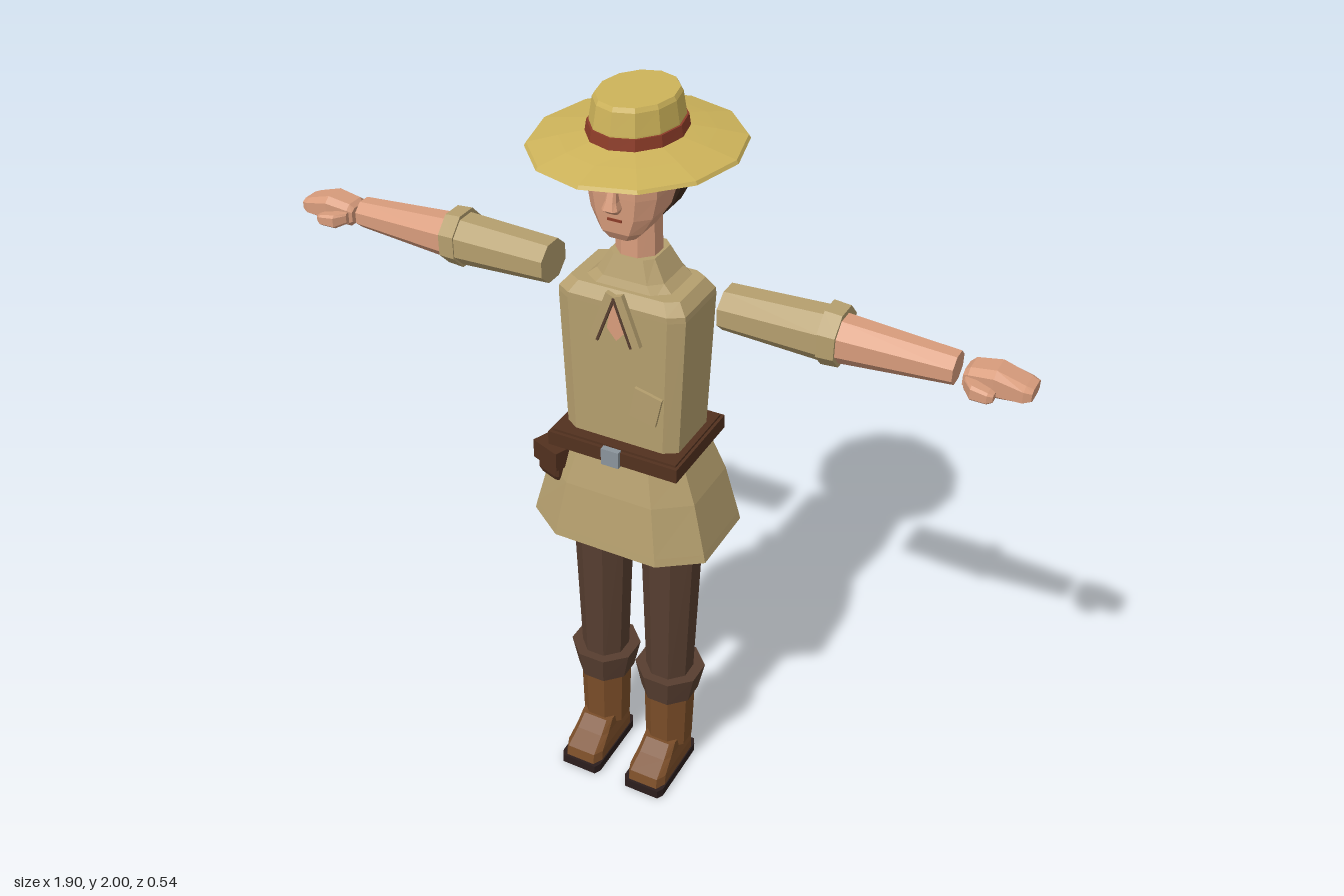
import * as THREE from 'three';

const mat = (name, color) => Object.assign(new THREE.MeshStandardMaterial({ color }), { name });

// Unit outlines, turning from +x towards +z
const poly = (n, phase = 0) => Array.from({ length: n }, (_, i) => {
  const a = phase + (i / n) * Math.PI * 2;
  return [Math.cos(a), Math.sin(a)];
});
const chamfered = (c) => {
  const k = 1 - c;
  return [[1, -k], [1, k], [k, 1], [-k, 1], [-1, k], [-1, -k], [-k, -1], [k, -1]];
};
const OCT = poly(8, Math.PI / 8).map(([x, z]) => [x / Math.cos(Math.PI / 8), z / Math.cos(Math.PI / 8)]);

// Closed, faceted skin over stacked sections [y, halfX, zBack, zFront, centreX]
function loft(sections, outline) {
  const n = outline.length, pos = [], idx = [];
  for (const [y, rx, z0, z1, cx = 0] of sections) {
    for (const [u, v] of outline) pos.push(cx + u * rx, y, (z0 + z1) / 2 + (v * (z1 - z0)) / 2);
  }
  const last = sections.length - 1;
  for (let i = 0; i < last; i++) {
    for (let j = 0; j < n; j++) {
      const a = i * n + j, b = i * n + ((j + 1) % n);
      idx.push(a, a + n, b, b, a + n, b + n);
    }
  }
  for (let j = 1; j < n - 1; j++) {
    idx.push(0, j, j + 1, last * n, last * n + j + 1, last * n + j);
  }
  const g = new THREE.BufferGeometry();
  g.setAttribute('position', new THREE.Float32BufferAttribute(pos, 3));
  g.setIndex(idx);
  const flat = g.toNonIndexed();
  flat.computeVertexNormals();
  return flat;
}

export function createModel() {
  const khaki = mat('khaki cloth', 0xb59f6e);
  const straw = mat('straw', 0xcdb35a);
  const skin = mat('skin', 0xd89c7c);
  const trousers = mat('dark brown cloth', 0x573e30);
  const leather = mat('boot leather', 0x7a4d28);
  const rubber = mat('sole black', 0x2b1d1c);
  const beltBrown = mat('belt leather', 0x52311f);
  const red = mat('rust ribbon', 0x8c3c28);
  const metal = mat('buckle metal', 0x8b949c);
  const hairBrown = mat('hair brown', 0x402a1d);

  const model = new THREE.Group();
  model.name = 'scout';
  const add = (parent, name, geometry, material, x = 0, y = 0, z = 0) => {
    const m = new THREE.Mesh(geometry, material);
    m.name = name;
    m.position.set(x, y, z);
    parent.add(m);
    return m;
  };
  const part = (name, sections, outline, material, parent = model) =>
    add(parent, name, loft(sections, outline), material);
  const box = (name, w, h, d, material, x, y, z, parent = model) =>
    add(parent, name, new THREE.BoxGeometry(w, h, d), material, x, y, z);
  const plate = (name, points, material, z, thick = 0.009) => {
    const shape = new THREE.Shape(points.map(([x, y]) => new THREE.Vector2(x, y)));
    return add(model, name, new THREE.ExtrudeGeometry(shape, { depth: thick, bevelEnabled: false }), material, 0, 0, z);
  };

  // Hat
  const round = poly(12);
  const oval = (y, rx, rz) => [y, rx, -rz, rz];
  part('hatBrim', [oval(1.875, 0.237, 0.262), oval(1.877, 0.245, 0.27), oval(1.885, 0.24, 0.265),
    oval(1.9, 0.17, 0.195), oval(1.912, 0.105, 0.13)], round, straw);
  part('hatBand', [oval(1.905, 0.112, 0.137), oval(1.937, 0.107, 0.132)], round, red);
  part('hatCrown', [oval(1.9, 0.105, 0.13), oval(1.94, 0.102, 0.127), oval(1.99, 0.094, 0.118),
    oval(2, 0.088, 0.112)], round, straw);

  // Head
  part('head', [[1.68, 0.035, 0.015, 0.095], [1.7, 0.055, -0.01, 0.107], [1.74, 0.078, -0.045, 0.11],
    [1.79, 0.088, -0.065, 0.113], [1.84, 0.09, -0.07, 0.115], [1.89, 0.09, -0.07, 0.105]], chamfered(0.4), skin);
  part('nose', [[1.755, 0.014, 0.1, 0.125], [1.768, 0.02, 0.1, 0.142], [1.785, 0.014, 0.1, 0.136],
    [1.835, 0.008, 0.1, 0.118]], chamfered(0.4), skin);
  part('neck', [[1.56, 0.053, -0.06, 0.045], [1.74, 0.048, -0.055, 0.04]], OCT, skin);
  part('hair', [[1.675, 0.03, -0.085, -0.045], [1.71, 0.06, -0.115, -0.035], [1.77, 0.088, -0.14, -0.025],
    [1.83, 0.097, -0.148, -0.01], [1.885, 0.098, -0.135, 0.01]], chamfered(0.4), hairBrown);
  for (const s of [-1, 1]) {
    box('sideHair', 0.018, 0.05, 0.06, hairBrown, s * 0.09, 1.861, 0.025);
    box('eye', 0.028, 0.01, 0.006, rubber, s * 0.037, 1.822, 0.114);
    box('eyebrow', 0.036, 0.008, 0.008, hairBrown, s * 0.036, 1.843, 0.115).rotation.z = -s * 0.15;
  }
  box('mouth', 0.036, 0.006, 0.006, red, 0, 1.734, 0.109);

  // Shirt
  part('torso', [[1.12, 0.153, -0.095, 0.1], [1.5, 0.167, -0.1, 0.105], [1.515, 0.165, -0.1, 0.105],
    [1.542, 0.143, -0.085, 0.085]], chamfered(0.22), khaki);
  part('collar', [[1.53, 0.125, -0.095, 0.08], [1.56, 0.088, -0.09, 0.065], [1.612, 0.058, -0.072, 0.048]],
    chamfered(0.35), khaki);
  plate('openNeck', [[-0.008, 1.54], [-0.025, 1.45], [0, 1.42], [0.025, 1.45], [0.008, 1.54]], skin, 0.103, 0.005);
  for (const s of [-1, 1]) {
    const tail = box('neckerchiefTail', 0.024, 0.135, 0.014, khaki, s * 0.033, 1.483, 0.113);
    tail.rotation.z = s * 0.36;
    box('tailEdge', 0.006, 0.13, 0.006, trousers, -s * 0.012, 0, 0.006, tail);
  }
  plate('pocketPatch', [[0.035, 1.225], [0.105, 1.21], [0.122, 1.29], [0.05, 1.307]], khaki, 0.103);

  // Belt, buckle and pouch
  box('belt', 0.355, 0.038, 0.268, beltBrown, 0, 1.107, 0.005);
  box('beltRim', 0.34, 0.05, 0.25, beltBrown, 0, 1.107, 0.005);
  box('buckle', 0.048, 0.046, 0.016, metal, 0, 1.107, 0.14);
  const pouch = new THREE.Group();
  pouch.name = 'pouch';
  pouch.position.set(-0.172, 1.03, 0.105);
  pouch.rotation.y = -0.35;
  model.add(pouch);
  part('pouchBody', [[-0.045, 0.032, -0.03, 0.03], [-0.03, 0.038, -0.036, 0.036], [0.03, 0.038, -0.036, 0.036]],
    chamfered(0.2), beltBrown, pouch);
  box('pouchFlap', 0.088, 0.052, 0.084, beltBrown, 0, 0.022, 0, pouch);

  // Skirt of the tunic
  part('skirt', [[0.84, 0.235, -0.168, 0.172], [0.843, 0.245, -0.175, 0.18], [0.865, 0.24, -0.172, 0.177],
    [1.0, 0.205, -0.152, 0.157], [1.09, 0.17, -0.127, 0.135]], chamfered(0.42), khaki);

  for (const s of [-1, 1]) {
    // Leg and boot
    const leg = new THREE.Group();
    leg.name = s > 0 ? 'leftLeg' : 'rightLeg';
    leg.position.x = s * 0.1;
    model.add(leg);
    part('trouserLeg', [[0.3, 0.058, -0.058, 0.062], [0.9, 0.079, -0.067, 0.072]], OCT, trousers, leg);
    part('bootCuff', [[0.27, 0.072, -0.074, 0.074], [0.355, 0.089, -0.088, 0.087]], OCT, trousers, leg);
    part('bootShaft', [[0.09, 0.06, -0.06, 0.062], [0.29, 0.065, -0.065, 0.066]], OCT, leather, leg);
    part('shoe', [[0.025, 0.057, -0.058, 0.163], [0.055, 0.055, -0.058, 0.155], [0.085, 0.05, -0.058, 0.105],
      [0.115, 0.047, -0.056, 0.07]], chamfered(0.25), leather, leg);
    part('sole', [[0, 0.06, -0.062, 0.17], [0.027, 0.06, -0.062, 0.17]], chamfered(0.15), rubber, leg);

    // Arm, built upright and laid out sideways
    const arm = new THREE.Group();
    arm.name = s > 0 ? 'leftArm' : 'rightArm';
    arm.position.y = 1.52;
    arm.rotation.z = -s * Math.PI / 2;
    model.add(arm);
    part('sleeve', [[0.23, 0.05, -0.058, 0.055], [0.49, 0.061, -0.06, 0.06]], OCT, khaki, arm);
    part('sleeveCuff', [[0.475, 0.069, -0.072, 0.063], [0.517, 0.066, -0.07, 0.062]], OCT, khaki, arm);
    part('forearm', [[0.5, 0.055, -0.048, 0.056], [0.78, 0.035, -0.037, 0.041]], OCT, skin, arm);
    const low = s * 0.008;
    part('hand', [[0.8, 0.02, -0.03, 0.03, low], [0.812, 0.03, -0.04, 0.036, low], [0.87, 0.034, -0.04, 0.044, 0],
      [0.935, 0.022, -0.038, 0.04, low], [0.952, 0.015, -0.032, 0.032, low]], chamfered(0.4), skin, arm);
    part('thumb', [[0.808, 0.014, 0.025, 0.045, low], [0.83, 0.018, 0.03, 0.072, low * 1.5],
      [0.868, 0.014, 0.045, 0.077, low * 1.5], [0.88, 0.009, 0.05, 0.07, low * 1.5]], chamfered(0.35), skin, arm);
  }
  return model;
}
